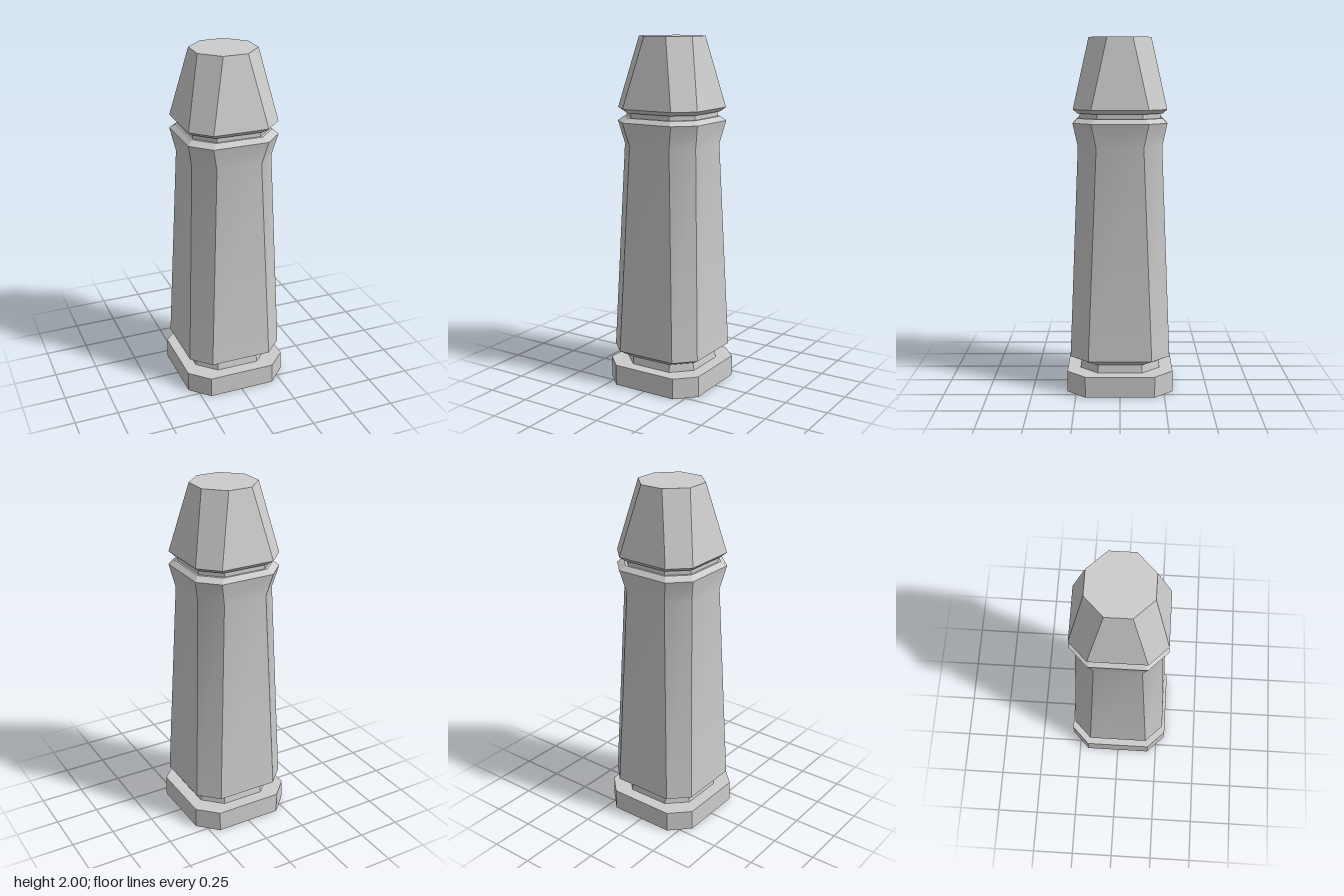
import * as THREE from 'three';
import { toCreasedNormals } from 'three/addons/utils/BufferGeometryUtils.js';

// Chamfered square: r = half width, c = half length of the straight side
const ring = ([y, r, c]) =>
  [[r, -c], [r, c], [c, r], [-c, r], [-r, c], [-r, -c], [-c, -r], [c, -r]]
    .map(([x, z]) => [x, y, z]);

// Open shell through a stack of [y, r, c] sections, listed bottom to top
function loft(name, sections, material) {
  const rings = sections.map(ring);
  const pos = [];
  for (let s = 0; s < rings.length - 1; s++) {
    const lo = rings[s], hi = rings[s + 1];
    for (let i = 0; i < 8; i++) {
      const j = (i + 1) % 8;
      pos.push(...lo[i], ...hi[i], ...lo[j]);
      // a section of zero width closes to a point, so one triangle is enough
      if (sections[s + 1][1] > 0) pos.push(...hi[i], ...hi[j], ...lo[j]);
    }
  }
  const geometry = new THREE.BufferGeometry();
  geometry.setAttribute('position', new THREE.Float32BufferAttribute(pos, 3));
  const mesh = new THREE.Mesh(toCreasedNormals(geometry, 0.35), material);
  mesh.name = name;
  return mesh;
}

export function createModel() {
  const group = new THREE.Group();
  group.name = 'bollard';
  const material = new THREE.MeshStandardMaterial({ color: 0xcccccc, side: THREE.DoubleSide });

  const parts = {
    // plinth, open underneath, with a flat ledge on top
    base: [[0, 0.3, 0.195], [0.12, 0.3, 0.195], [0.12, 0.228, 0.125]],
    lowerNeck: [[0.12, 0.228, 0.125], [0.168, 0.22, 0.123]],
    // bevelled foot, tapering post and flared collar
    shaft: [
      [0.168, 0.22, 0.123], [0.168, 0.23, 0.13], [0.203, 0.282, 0.178],
      [1.4, 0.235, 0.13], [1.53, 0.262, 0.158],
      [1.555, 0.235, 0.135], [1.555, 0.225, 0.125],
    ],
    upperNeck: [[1.555, 0.225, 0.125], [1.582, 0.225, 0.125]],
    // tapered cap with a flat top
    cap: [
      [1.582, 0.225, 0.125], [1.582, 0.235, 0.135], [1.605, 0.26, 0.157],
      [2, 0.174, 0.07], [2, 0, 0],
    ],
  };
  for (const [name, sections] of Object.entries(parts)) group.add(loft(name, sections, material));
  return group;
}
